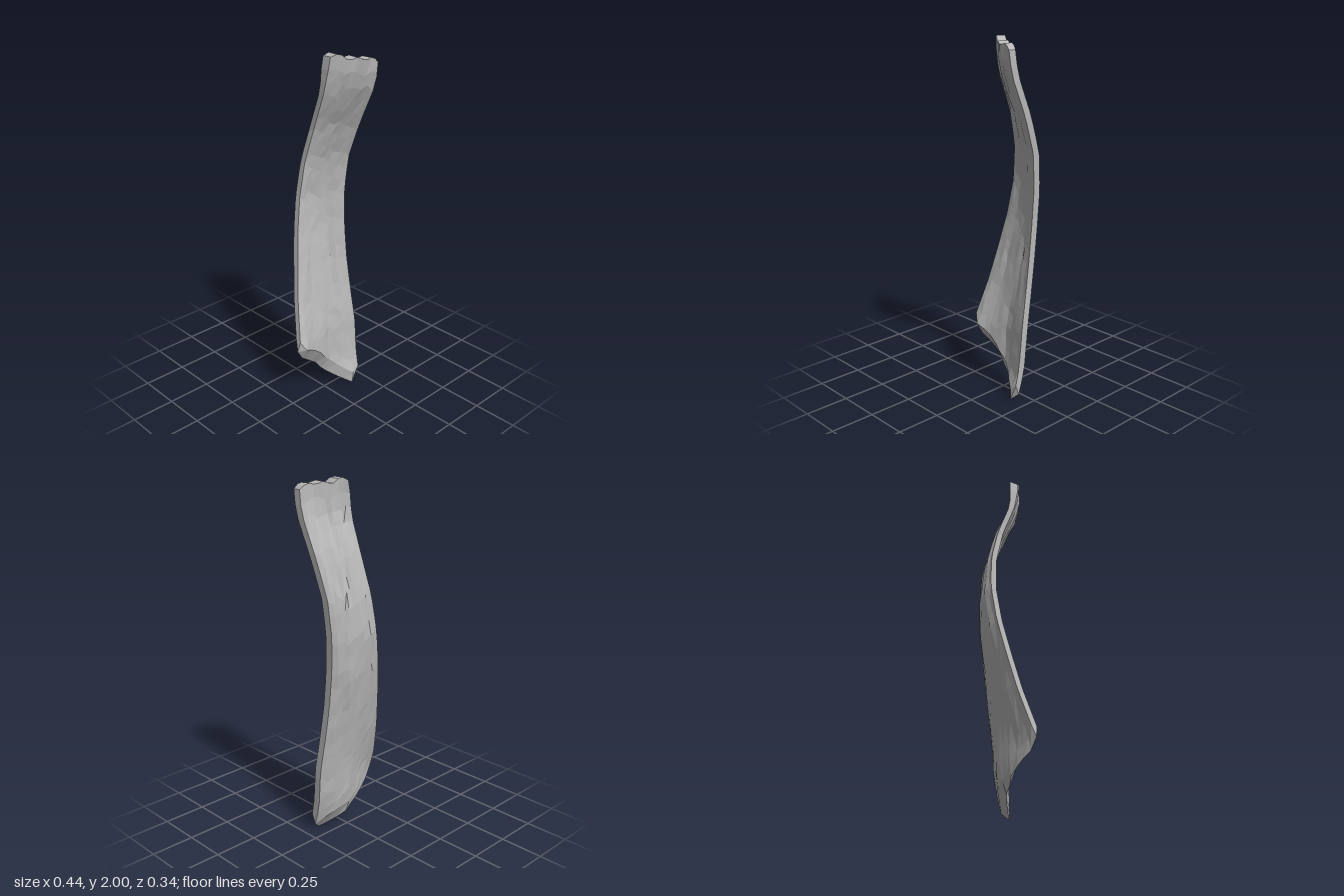
import * as THREE from 'three';

// Piecewise-linear lookup; extra entries per key are separate columns
function sample(table, k, col = 1) {
  if (k <= table[0][0]) return table[0][col];
  for (let i = 1; i < table.length; i++) {
    const a = table[i - 1], b = table[i];
    if (k <= b[0]) return THREE.MathUtils.lerp(a[col], b[col], (k - a[0]) / (b[0] - a[0]));
  }
  return table[table.length - 1][col];
}

// Height: left edge x, right edge x
const EDGES = [
  [0, -0.218, 0.192], [0.35, -0.218, 0.199], [0.4, -0.207, 0.199], [0.6, -0.167, 0.192],
  [0.8, -0.129, 0.187], [1, -0.092, 0.187], [1.2, -0.059, 0.193], [1.4, -0.033, 0.204],
  [1.6, -0.014, 0.214], [1.8, -0.017, 0.218], [1.9, -0.014, 0.218], [2, 0, 0.212],
];
// Height: depth of the curved sheet at four places from left to right
const DEPTH = [
  [0, 0.06, 0.06, 0.11, 0.11], [0.05, 0.055, 0.05, 0.05, 0.082], [0.1, 0.05, 0.03, 0.005, 0.068],
  [0.2, 0.045, 0, -0.02, 0.047], [0.34, 0.028, -0.012, -0.025, 0.035], [0.4, 0.005, -0.02, -0.027, 0.03],
  [0.6, -0.053, -0.065, -0.052, -0.003], [0.8, -0.095, -0.1, -0.085, -0.033],
  [1, -0.132, -0.13, -0.11, -0.053], [1.2, -0.149, -0.143, -0.107, -0.062],
  [1.4, -0.133, -0.113, -0.08, -0.043], [1.6, -0.078, -0.05, -0.01, 0.027],
  [1.8, -0.002, 0.045, 0.087, 0.118], [1.9, 0.013, 0.068, 0.115, 0.144], [2, 0.02, 0.08, 0.127, 0.148],
];
// Slanted lower end and chipped upper end, from left to right
const BOTTOM = [[0, 0.34], [0.06, 0.29], [0.3, 0.215], [0.5, 0.13], [0.65, 0.075], [0.78, 0.03], [0.9, 0], [1, 0.04]];
const TOP = [[0, 1.985], [0.1, 2], [0.22, 1.993], [0.32, 1.965], [0.5, 1.982], [0.65, 1.965], [0.85, 1.978], [1, 1.945]];

function depthAt(u, y) {
  const s = Math.min(u * 3, 2.9999), i = Math.floor(s);
  return THREE.MathUtils.lerp(sample(DEPTH, y, i + 1), sample(DEPTH, y, i + 2), s - i);
}

function createStrip(material) {
  const COLS = 11, ROWS = 24, ring = COLS * 2;
  let seed = 7;
  const rand = () => ((seed = (seed * 16807) % 2147483647) / 2147483647) - 0.5;
  const positions = [], index = [];
  const ridges = Array.from({ length: ring }, () => rand());

  // Rings: front from left to right, then back from right to left
  for (let r = 0; r <= ROWS; r++) {
    const v = r / ROWS;
    for (let c = 0; c < ring; c++) {
      const front = c < COLS;
      const col = front ? c : ring - 1 - c;
      const u = col / (COLS - 1);
      const inner = col > 0 && col < COLS - 1;
      const bulge = inner ? Math.sin(Math.PI * u) : 0;
      // the front starts higher, leaving a bevel on the lower end
      const low = sample(BOTTOM, u) + (front ? 0.06 + 0.03 * bulge : 0);
      const wobble = inner && r > 0 && r < ROWS ? rand() * 0.03 : 0;
      const y = THREE.MathUtils.lerp(low, sample(TOP, u), v) + wobble;
      const x = THREE.MathUtils.lerp(sample(EDGES, y, 1), sample(EDGES, y, 2), u + (inner ? rand() * 0.04 : 0));
      // thickness, with a stouter left corner at the upper end
      const half = 0.017 + 0.009 * Math.sqrt(bulge) + 0.005 * u
        + 0.01 * (1 - u) * THREE.MathUtils.smoothstep(y, 1.8, 1.95);
      ridges[c] = ridges[c] * 0.7 + rand() * 0.4;
      const rough = inner ? ridges[c] * 0.014 : 0;
      positions.push(x, y, depthAt(u, y) + (front ? half : -half) + rough);
    }
  }
  const quad = (a, b, c, d) => index.push(a, b, c, a, c, d);
  for (let r = 0; r < ROWS; r++) {
    for (let c = 0; c < ring; c++) {
      const n = (c + 1) % ring, o = r * ring;
      quad(o + c, o + n, o + ring + n, o + ring + c);
    }
  }
  // End faces
  const t = ROWS * ring;
  for (let c = 0; c < COLS - 1; c++) {
    const b = ring - 1 - c;
    quad(t + c, t + c + 1, t + b - 1, t + b);
    quad(b, b - 1, c + 1, c);
  }
  let geometry = new THREE.BufferGeometry();
  geometry.setAttribute('position', new THREE.Float32BufferAttribute(positions, 3));
  geometry.setIndex(index);
  geometry = geometry.toNonIndexed(); // faceted surface
  geometry.computeVertexNormals();
  const mesh = new THREE.Mesh(geometry, material);
  mesh.name = 'curvedBarkStrip';
  return mesh;
}

export function createModel() {
  const grey = new THREE.MeshStandardMaterial({ color: 0xb8b8b8, flatShading: true });
  grey.name = 'pale grey';
  const group = new THREE.Group();
  group.name = 'barkPiece';
  group.add(createStrip(grey));
  return group;
}
